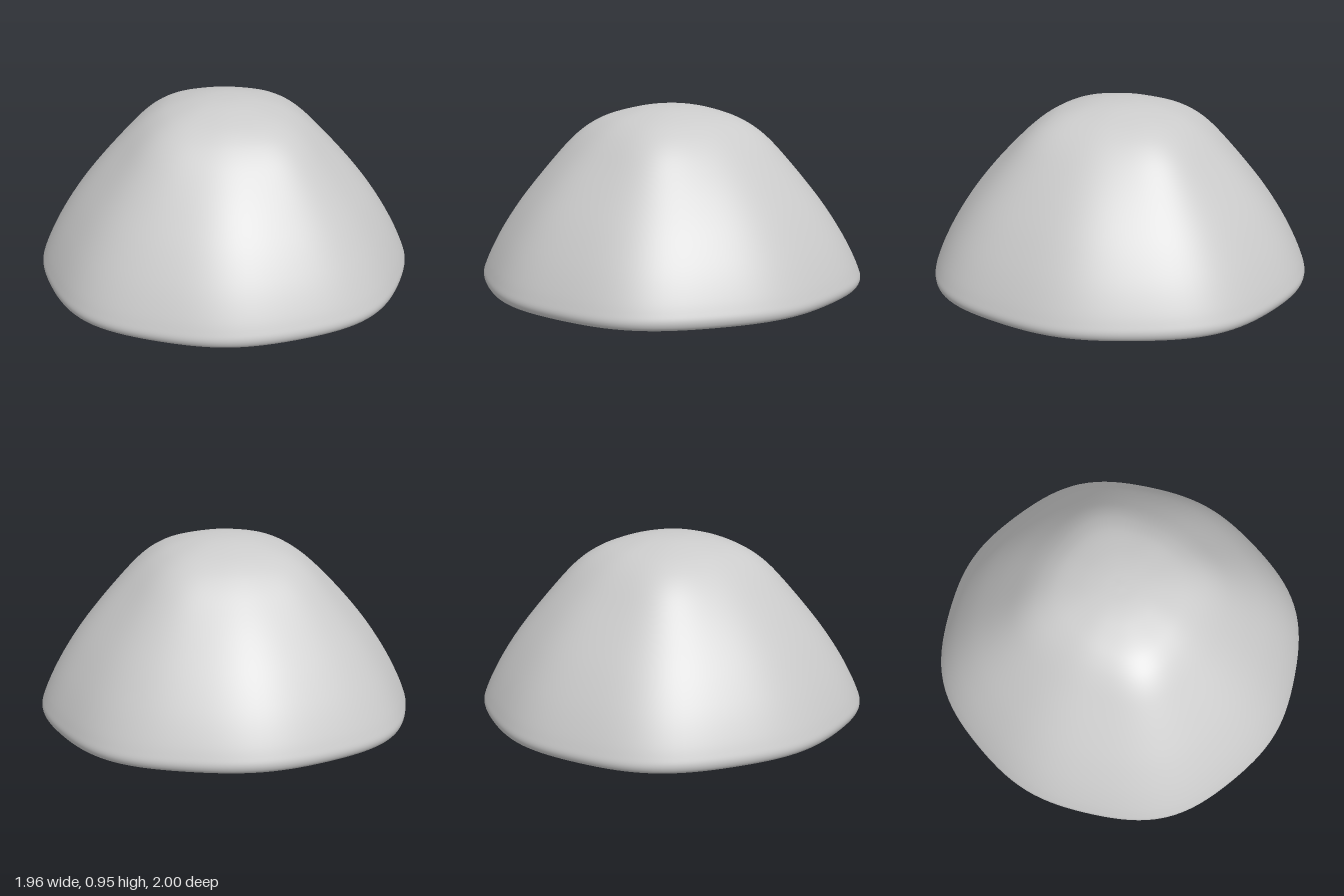
import * as THREE from 'three';
import { mergeVertices } from 'three/addons/utils/BufferGeometryUtils.js';

// Half-section: inner apex, down the cavity, round the rim, up the outside
const PROFILE = [
  [0, 0.757], [0.15, 0.743], [0.26, 0.7], [0.36, 0.622], [0.445, 0.535],
  [0.54, 0.43], [0.63, 0.32], [0.71, 0.2], [0.765, 0.11], [0.81, 0.047], [0.865, 0.014], [0.94, 0.006],
  [0.985, 0.018], [0.999, 0.05], [0.985, 0.1], [0.94, 0.2], [0.88, 0.308],
  [0.79, 0.443], [0.68, 0.58], [0.57, 0.699], [0.475, 0.791], [0.4, 0.85],
  [0.32, 0.895], [0.2, 0.933], [0.1, 0.95], [0, 0.955],
];
const STEPS = 125;

// Four soft corner lobes; squarer towards the crown, round at the apex
function lobe(angle, r, strength) {
  const crown = 0.028 * Math.exp(-(((r - 0.42) / 0.18) ** 2));
  const fade = strength * THREE.MathUtils.smoothstep(r, 0, 0.3);
  const c4 = Math.cos(4 * angle);
  const c8 = Math.cos(8 * angle);
  return 1 + fade * ((0.0125 + crown) * (1 - c4) + 0.008 * (c8 - 1));
}

function createShell() {
  const curve = new THREE.CatmullRomCurve3(
    PROFILE.map(([r, y]) => new THREE.Vector3(r, y, 0)), false, 'centripetal');
  const points = curve.getPoints(STEPS).map((p) => new THREE.Vector2(Math.max(p.x, 0), p.y));
  points[0].x = points[STEPS].x = 0;

  let geometry = new THREE.LatheGeometry(points, 128);
  const pos = geometry.attributes.position;
  for (let i = 0; i < pos.count; i++) {
    const x = pos.getX(i), z = pos.getZ(i);
    // The cavity is rounder than the outside
    const strength = 0.6 + 0.4 * THREE.MathUtils.smoothstep(i % (STEPS + 1), 30, 60);
    const s = lobe(Math.atan2(z, x), Math.hypot(x, z), strength);
    pos.setX(i, x * s * 0.983);
    pos.setZ(i, z * s);
  }

  // Weld the seam so the smooth normals run all the way round
  geometry.deleteAttribute('uv');
  geometry.deleteAttribute('normal');
  geometry = mergeVertices(geometry, 1e-5);
  geometry.computeVertexNormals();
  return geometry;
}

export function createModel() {
  const group = new THREE.Group();
  group.name = 'hollowDome';
  const shell = new THREE.Mesh(createShell(), new THREE.MeshStandardMaterial({ color: 0xcccccc }));
  shell.name = 'domeShell';
  group.add(shell);
  return group;
}
